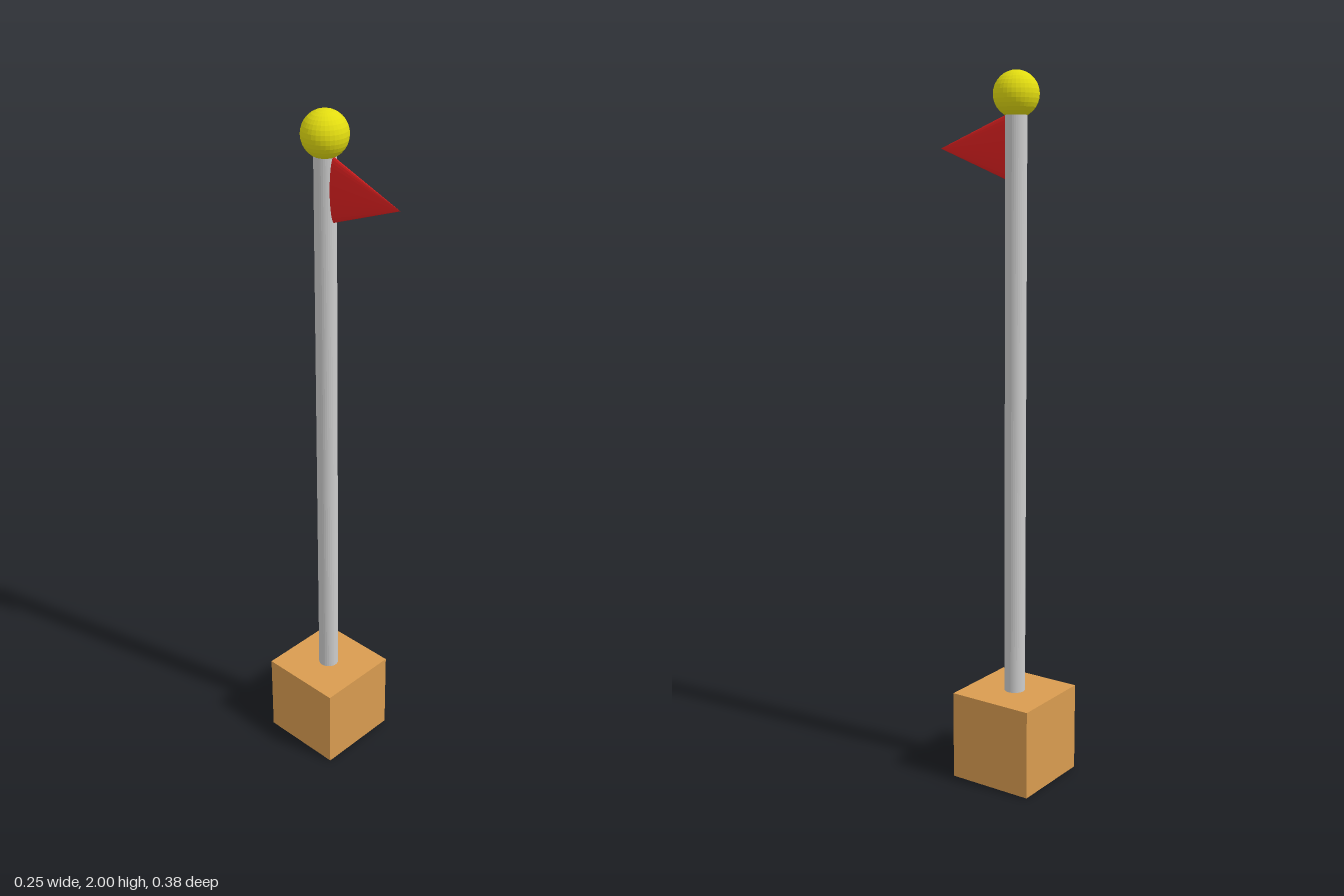
import * as THREE from 'three';

const AXIS_Z = -0.064; // pole, base and ball share this upright axis

export function createModel() {
  const model = new THREE.Group();

  const add = (name, geometry, color, y, z = AXIS_Z) => {
    const material = new THREE.MeshStandardMaterial({ color, flatShading: true });
    const mesh = new THREE.Mesh(geometry, material);
    mesh.name = name;
    mesh.position.set(0, y, z);
    model.add(mesh);
    return mesh;
  };

  // Square block the pole stands in
  add('base', new THREE.BoxGeometry(0.255, 0.255, 0.255), 0xd99c50, 0.1275);

  // Pole, running from inside the block up into the ball
  const poleBottom = 0.2, poleTop = 1.9;
  add('pole', new THREE.CylinderGeometry(0.03, 0.03, poleTop - poleBottom, 32), 0xcccccc, (poleBottom + poleTop) / 2);

  // Ball on top
  add('finial', new THREE.SphereGeometry(0.063, 32, 16), 0xe2dc10, 1.937);

  // Pennant: a cone flattened sideways, pointing forward
  const length = 0.255;
  const pennant = new THREE.ConeGeometry(0.099, length, 32);
  pennant.rotateX(Math.PI / 2);
  pennant.scale(0.14, 1, 1);
  pennant.computeVertexNormals();
  add('pennant', pennant, 0xdd2020, 1.798, AXIS_Z + length / 2);

  return model;
}
